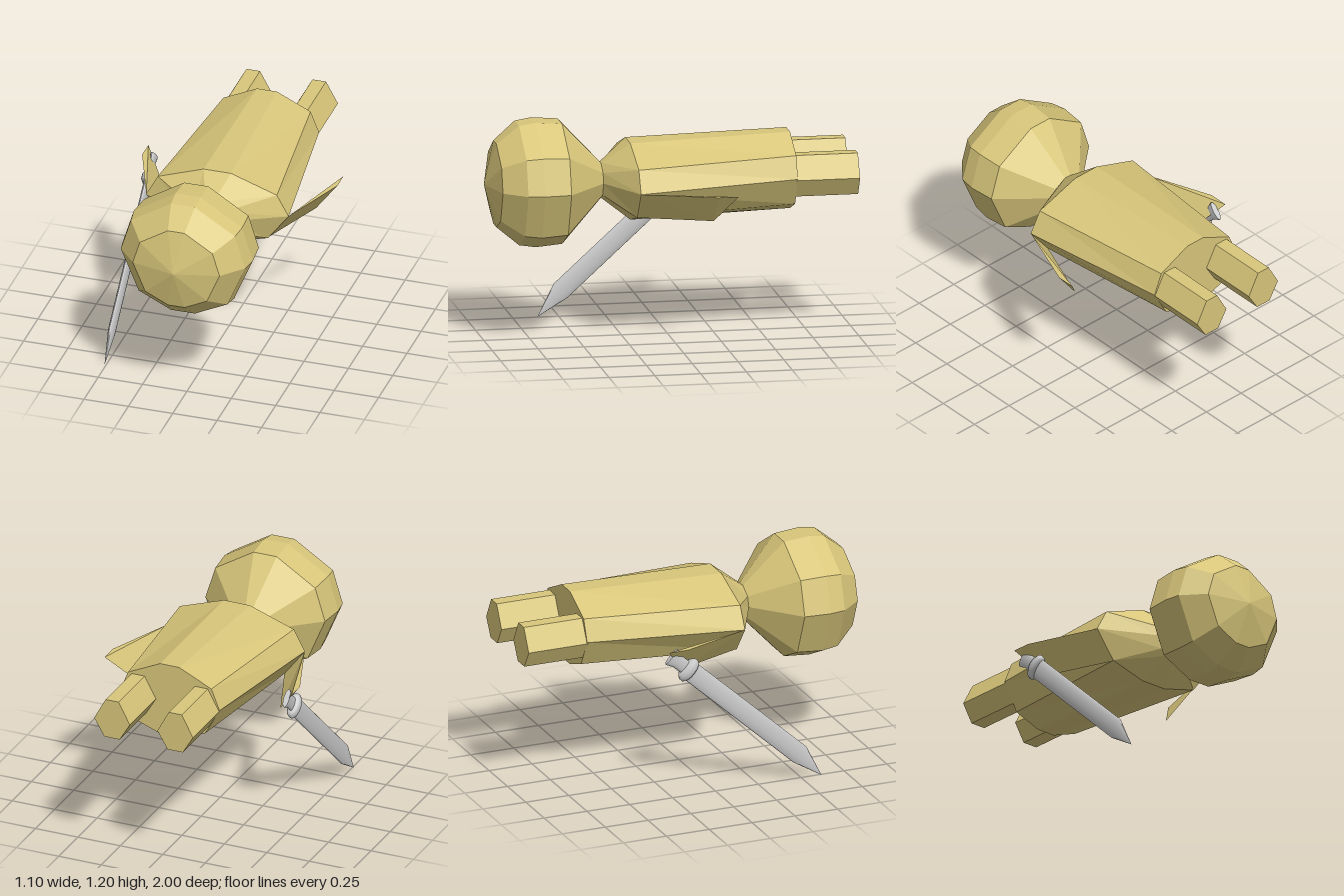
import * as THREE from 'three';
import { toCreasedNormals } from 'three/addons/utils/BufferGeometryUtils.js';

const tan = new THREE.MeshStandardMaterial({ color: 0xd8c67a, flatShading: true });
const tanThin = new THREE.MeshStandardMaterial({ color: 0xd8c67a, flatShading: true, side: THREE.DoubleSide });
const grey = new THREE.MeshStandardMaterial({ color: 0xcccccc });

// Mirror the +x half of an outline (listed bottom to top) into a closed loop
const mirrored = half => [...half, ...half.slice().reverse().map(([x, y]) => [-x, y])];

// Ten-sided outline shared by head and torso, six-sided outline for the legs
const bodyOutline = mirrored([[0.07, -0.342], [0.26, -0.25], [0.365, 0], [0.305, 0.195], [0.07, 0.342]]);
const legOutline = mirrored([[0.045, -0.112], [0.105, -0.012], [0.038, 0.112]]);

// Loft an outline through rings [z, scaleX, scaleY, centreY], front to back, with closed ends
function loft(outline, rings) {
  const n = outline.length, pos = [], idx = [];
  for (const [z, sx, sy, cy] of rings)
    for (const [x, y] of outline) pos.push(x * sx, cy + y * sy, z);
  const first = rings[0], last = rings[rings.length - 1];
  pos.push(0, first[3], first[0], 0, last[3], last[0]);
  const front = n * rings.length, back = front + 1, base = n * (rings.length - 1);
  for (let j = 0; j < n; j++) {
    const k = (j + 1) % n;
    for (let i = 0; i < base; i += n)
      idx.push(i + j, i + n + j, i + k, i + k, i + n + j, i + n + k);
    idx.push(front, j, k, back, base + k, base + j);
  }
  return fromIndices(pos, idx);
}

function fromIndices(pos, idx) {
  const geo = new THREE.BufferGeometry();
  geo.setAttribute('position', new THREE.Float32BufferAttribute(pos, 3));
  geo.setIndex(idx);
  const flat = geo.toNonIndexed();
  flat.computeVertexNormals();
  return flat;
}

function add(parent, name, geo, mat) {
  const mesh = new THREE.Mesh(geo, mat);
  mesh.name = name;
  parent.add(mesh);
  return mesh;
}

// Wedge-shaped arm: shoulder edge tapering out to a triangular hand end
function armGeometry(s) {
  const pos = [
    0.4, 0.86, 0.215, 0.28, 0.706, 0.215,
    0.55, 0.86, -0.29, 0.55, 0.86, -0.18, 0.433, 0.706, -0.175,
  ].map((v, i) => (i % 3 === 0 ? v * s : v));
  const idx = [0, 3, 2, 0, 2, 4, 0, 4, 1, 0, 1, 4, 0, 4, 3, 2, 3, 4];
  if (s < 0) idx.reverse();
  return fromIndices(pos, idx);
}

// Round profile [radius, height], flattened across its thickness
function flatLathe(points, thickness) {
  const geo = new THREE.LatheGeometry(points.map(p => new THREE.Vector2(...p)), 16);
  geo.scale(thickness, 1, 1);
  return geo;
}

export function createModel() {
  const model = new THREE.Group();

  // Head, narrowing to the neck
  add(model, 'head', loft(bodyOutline, [
    [1.0, 0.001, 0.001, 0.86], [0.94, 0.67, 0.67, 0.86], [0.82, 0.96, 0.96, 0.86],
    [0.73, 1, 1, 0.86], [0.585, 0.965, 0.965, 0.86], [0.365, 0.28, 0.28, 0.86],
  ]), tan);

  // Torso, from neck through the wide shoulders to the hips
  add(model, 'torso', loft(bodyOutline, [
    [0.365, 0.28, 0.28, 0.86], [0.215, 1.1, 0.614, 0.86], [-0.66, 0.805, 0.614, 0.884],
  ]), tan);

  // Arms and legs on both sides
  for (const [side, s] of [['left', 1], ['right', -1]]) {
    add(model, side + 'Arm', armGeometry(s), tanThin);
    const leg = add(model, side + 'Leg', loft(legOutline, [[-0.6, 1, 1, 0.888], [-1, 1, 1, 0.888]]), tan);
    leg.position.x = 0.186 * s;
  }

  // Sword, built upright from its tip and then tilted back
  const sword = new THREE.Group();
  sword.name = 'sword';
  const blade = flatLathe([[0, 0], [0.055, 0.185], [0.055, 1.07]], 0.29);
  const p = blade.attributes.position;
  for (let i = 0; i < p.count; i++) if (p.getY(i) < 0.01) p.setZ(i, -0.0175);
  add(sword, 'blade', toCreasedNormals(blade, 0.5), grey);
  add(sword, 'guard', flatLathe([
    [0, 1.035], [0.052, 1.035], [0.07, 1.05], [0.07, 1.075], [0.052, 1.095], [0, 1.095],
  ], 0.5), grey);
  add(sword, 'handle', toCreasedNormals(flatLathe([
    [0.038, 1.09], [0.038, 1.15], [0.052, 1.19], [0.052, 1.2], [0, 1.2],
  ], 0.32), 0.6), grey);
  sword.rotation.x = -0.833;
  sword.position.set(-0.508, 0.013, 0.627);
  model.add(sword);

  return model;
}
